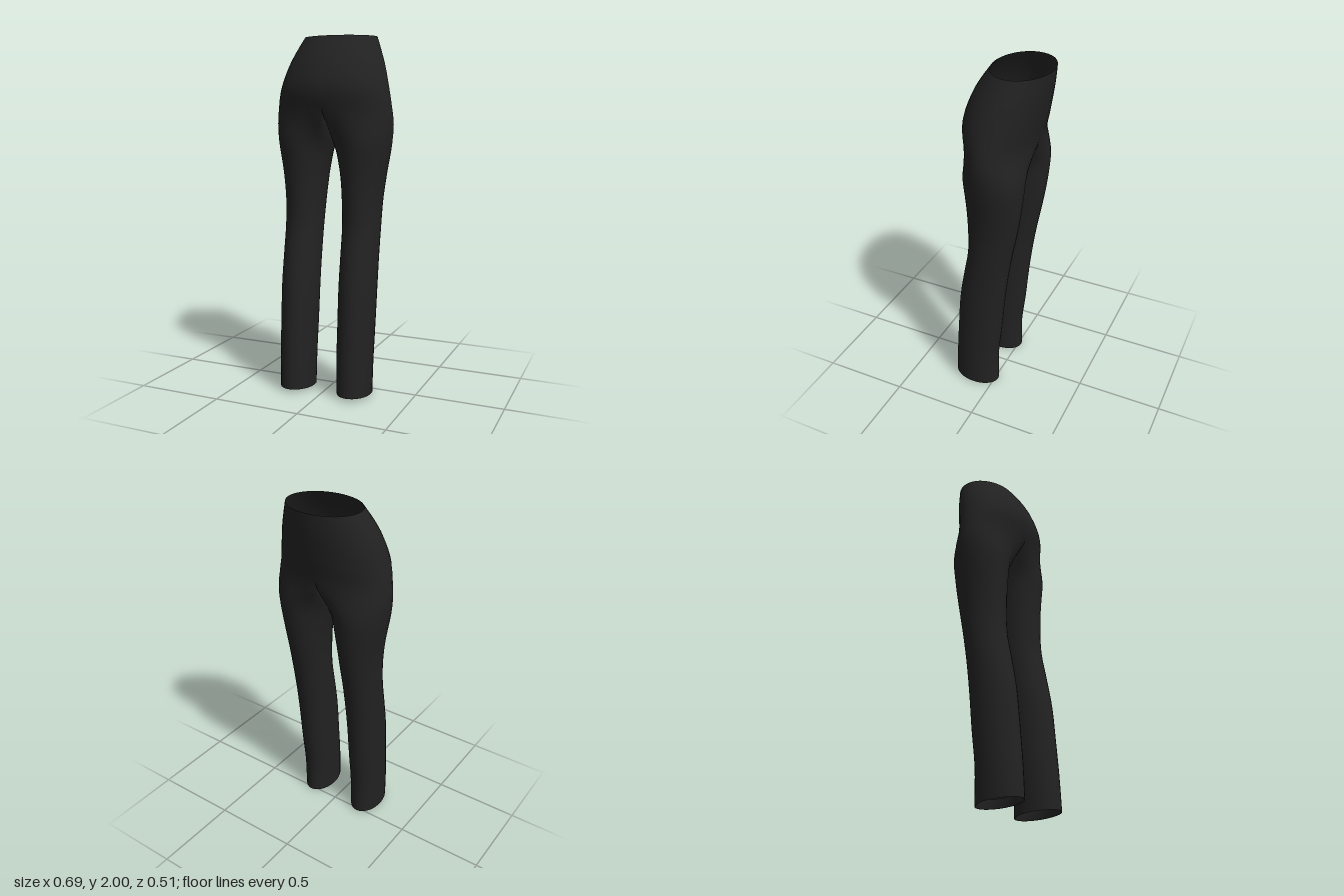
import * as THREE from 'three';
import { mergeVertices } from 'three/addons/utils/BufferGeometryUtils.js';

// Body profile, from hem to waist: height, then outer x, inner x, front z, back z
const HEIGHTS = [0, 0.2, 0.4, 0.62, 0.8, 0.95, 1.1, 1.25, 1.4, 1.53, 1.62, 1.71, 1.84, 1.92, 2];
const SIZES = [
  0.27, 0.082, 0.255, -0.02,
  0.275, 0.076, 0.245, -0.02,
  0.278, 0.074, 0.23, -0.042,
  0.281, 0.072, 0.21, -0.062,
  0.281, 0.071, 0.178, -0.084,
  0.282, 0.069, 0.15, -0.108,
  0.286, 0.062, 0.146, -0.137,
  0.304, 0.049, 0.149, -0.16,
  0.33, 0.025, 0.159, -0.174,
  0.343, 0, 0.172, -0.18,
  0.334, 0, 0.19, -0.185,
  0.317, 0, 0.205, -0.205,
  0.28, 0, 0.168, -0.23,
  0.248, 0, 0.125, -0.243,
  0.212, 0, 0.068, -0.252,
];
const SPLIT = 1.62;   // height where the legs part at front and back
const OUTER = 20;     // columns around the outside of one half
const INNER = 10;     // columns along the inside leg
const profile = new THREE.CubicInterpolant(HEIGHTS, SIZES, 4);

// One point of the left half; column 0 is front middle, OUTER is back middle
function skinPoint(y, j) {
  const [out, inn, front, back] = profile.evaluate(y);
  const cz = (front + back) / 2, rz = (front - back) / 2;
  const cx = (out + inn) / 2, rx = (out - inn) / 2;
  const w = THREE.MathUtils.smoothstep(y, 1.4, SPLIT); // 1 torso, 0 leg
  const deg = Math.PI / 180;
  let angle, tx, tz, drop = 0;
  if (j <= OUTER) {
    const t = j / OUTER, a = (90 - 180 * t) * deg;
    angle = (130 - 260 * t) * deg;
    tx = out * Math.cos(a);
    tz = cz + rz * Math.sin(a);
  } else {
    const s = (j - OUTER) / INNER;
    angle = (-130 - 100 * s) * deg;
    tx = 0;
    tz = THREE.MathUtils.lerp(back, front, s);
    // The crotch hangs lower in the middle than at front and back
    drop = 0.09 * Math.sin(Math.PI * s) * THREE.MathUtils.clamp((y - 1.1) / (SPLIT - 1.1), 0, 1);
  }
  const lx = cx + rx * Math.cos(angle), lz = cz + rz * Math.sin(angle);
  const z = THREE.MathUtils.lerp(lz, tz, w);
  // The hem rises slightly towards the front
  const rise = Math.max(0, 1 - y / 0.2) * 0.02 * THREE.MathUtils.clamp((z - back) / (front - back), 0, 1);
  return [Math.max(0, THREE.MathUtils.lerp(lx, tx, w)), y - drop + rise, z];
}

// Adds a grid of quads for one half and its mirror image
function addGrid(positions, rows, columns, pointAt) {
  for (const side of [1, -1]) {
    const p = (i, j) => {
      const [x, y, z] = pointAt(i, j);
      return [x * side, y, z];
    };
    for (let i = 0; i < rows; i++) {
      for (let j = 0; j < columns; j++) {
        const a = p(i, j), b = p(i, j + 1), c = p(i + 1, j), d = p(i + 1, j + 1);
        const quad = side > 0 ? [a, c, b, b, c, d] : [a, b, c, b, d, c];
        positions.push(...quad.flat());
      }
    }
  }
}

function smoothGeometry(positions) {
  const raw = new THREE.BufferGeometry();
  raw.setAttribute('position', new THREE.Float32BufferAttribute(positions, 3));
  const geometry = mergeVertices(raw, 1e-5);
  geometry.computeVertexNormals();
  return geometry;
}

export function createModel() {
  const group = new THREE.Group();
  group.name = 'trousers';
  const cloth = new THREE.MeshStandardMaterial({ color: 0x222222, side: THREE.DoubleSide });
  cloth.name = 'blackCloth';

  const add = (name, positions) => {
    const mesh = new THREE.Mesh(smoothGeometry(positions), cloth);
    mesh.name = name;
    group.add(mesh);
  };

  // Hips and both legs as one continuous skin
  const skin = [];
  const hipRows = 10, legRows = 32;
  addGrid(skin, hipRows, OUTER, (i, j) => skinPoint(2 - (2 - SPLIT) * i / hipRows, j));
  addGrid(skin, legRows, OUTER + INNER, (i, j) => skinPoint(SPLIT * (1 - i / legRows), j));
  add('hipsAndLegs', skin);

  // Hem turned up inside each leg
  const hem = [];
  addGrid(hem, 2, OUTER + INNER, (i, j) => {
    const [x, y, z] = skinPoint(0, j);
    const k = [1, 0.94, 0.92][i];
    return [0.176 + (x - 0.176) * k, y + [0, 0.004, 0.05][i], 0.1175 + (z - 0.1175) * k];
  });
  add('hemFacings', hem);

  return group;
}
